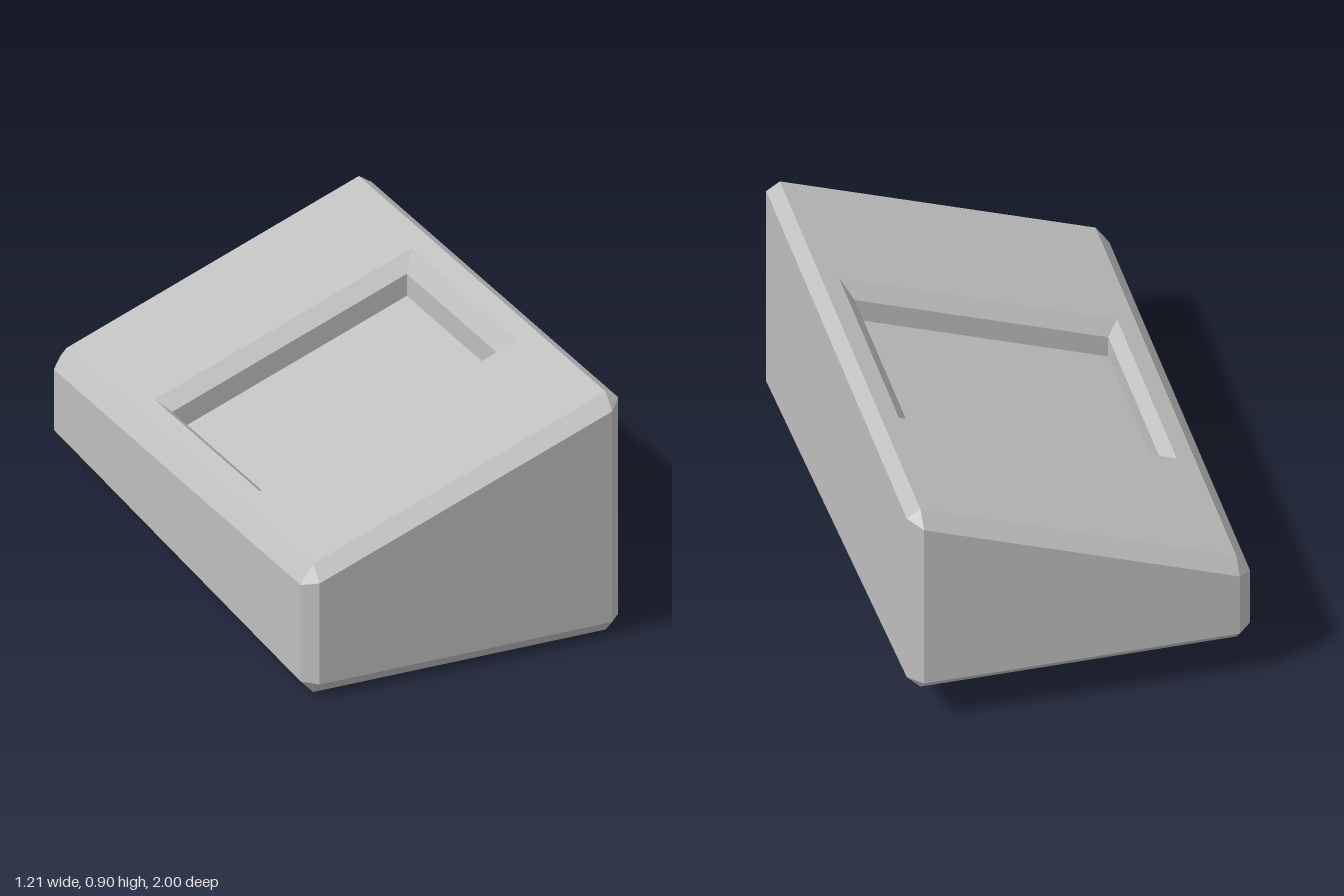
import * as THREE from 'three';

const V = (x, y, z) => new THREE.Vector3(x, y, z);

// Slopes: the top rises towards +x, the underside rises towards -z
const topY = (x) => 0.6935 + 0.372 * x;
const baseY = (z) => 0.0685 - 0.0721 * z;

// Flat polygons collected into one geometry, each turned away from (or towards) a point
function faceted(polys, point, inward = false) {
  const pos = [];
  for (const poly of polys) {
    const mid = poly.reduce((s, p) => s.add(p), V(0, 0, 0)).divideScalar(poly.length);
    const n = poly[1].clone().sub(poly[0]).cross(poly[2].clone().sub(poly[0]));
    const away = n.dot(mid.sub(point)) > 0;
    const c = away !== inward ? poly : [...poly].reverse();
    for (let i = 1; i < c.length - 1; i++) {
      for (const p of [c[0], c[i], c[i + 1]]) pos.push(p.x, p.y, p.z);
    }
  }
  const g = new THREE.BufferGeometry();
  g.setAttribute('position', new THREE.Float32BufferAttribute(pos, 3));
  g.computeVertexNormals();
  return g;
}

// Quads joining two four-cornered rings
const band = (a, b) => a.map((p, i) => [p, a[(i + 1) % 4], b[(i + 1) % 4], b[i]]);

// Rectangle lying a given depth below the sloping top
const topRing = (hx, hz, depth) =>
  [[-1, -1], [1, -1], [1, 1], [-1, 1]].map(([sx, sz]) => V(sx * hx, topY(sx * hx) - depth, sz * hz));

// Corner of the bevelled block: one point on each of its three faces
const X = 0.605, Z = 1, xi = 0.557, zi = 0.95;
function corner(face, sx, sy, sz) {
  const x = sx * (face === 'x' ? X : xi);
  const z = sz * (face === 'z' ? Z : zi);
  let y;
  if (sy > 0) {
    y = topY(sx * xi);
    if (face === 'z') y -= 0.054;
    if (face === 'x') y -= sx > 0 ? 0.032 : 0.071;
  } else {
    y = baseY(sz * zi) + (face === 'y' ? 0 : 0.05);
  }
  return V(x, y, z);
}

export function createModel() {
  const model = new THREE.Group();
  const grey = new THREE.MeshStandardMaterial({ color: 0xbfbfbf });
  grey.name = 'grey';
  const add = (name, geometry) => {
    const mesh = new THREE.Mesh(geometry, grey);
    mesh.name = name;
    model.add(mesh);
  };

  // Sides, bevelled edges and corner facets
  const sides = [], bevels = [];
  const S = [-1, 1];
  for (const a of S) {
    const loop = [[-1, -1], [1, -1], [1, 1], [-1, 1]];
    sides.push(loop.map(([u, v]) => corner('x', a, u, v)));
    sides.push(loop.map(([u, v]) => corner('z', u, v, a)));
    for (const b of S) {
      const strip = (f, g, at) => bevels.push([
        corner(f, ...at(-1)), corner(f, ...at(1)), corner(g, ...at(1)), corner(g, ...at(-1))]);
      strip('y', 'z', (t) => [t, a, b]);
      strip('x', 'z', (t) => [a, t, b]);
      strip('x', 'y', (t) => [a, b, t]);
      for (const c of S) bevels.push(['x', 'y', 'z'].map((f) => corner(f, a, b, c)));
    }
  }
  const centre = V(0, 0.4, 0);
  add('sideWalls', faceted(sides, centre));
  add('bevelledEdges', faceted(bevels, centre));

  // Sloping top with a bevelled rectangular pocket
  const rim = topRing(0.49, 0.405, 0);
  const lip = topRing(0.447, 0.358, 0.052);
  const deep = topRing(0.447, 0.358, 0.135);
  add('slopingTop', faceted(band(topRing(xi, zi, 0), rim), centre));
  const pocketMid = V(0, 0.9, 0);
  add('pocketBevel', faceted(band(rim, lip), pocketMid, true));
  add('pocketWalls', faceted(band(lip, deep), pocketMid, true));
  add('pocketFloor', faceted([deep], pocketMid, true));

  // Sloping underside with two round holes
  const r = 0.175, holeZ = 0.61, depth = 0.25, segs = 48;
  const outline = new THREE.Shape([[-xi, -zi], [xi, -zi], [xi, zi], [-xi, zi]]
    .map(([x, z]) => new THREE.Vector2(x, z)));
  for (const s of S) outline.holes.push(new THREE.Path().absarc(0, s * holeZ, r, 0, Math.PI * 2, true));
  const under = new THREE.ShapeGeometry(outline, segs).rotateX(Math.PI / 2);
  const p = under.attributes.position;
  for (let i = 0; i < p.count; i++) p.setY(i, baseY(p.getZ(i)));
  under.computeVertexNormals();
  add('underside', under);

  // Blind holes, their mouths following the sloping underside
  for (const s of S) {
    const end = baseY(s * holeZ) + depth;
    const wall = new THREE.LatheGeometry([new THREE.Vector2(r, end), new THREE.Vector2(r, 0)], segs);
    wall.translate(0, 0, s * holeZ);
    const w = wall.attributes.position;
    for (let i = 0; i < w.count; i++) if (w.getY(i) < 0.001) w.setY(i, baseY(w.getZ(i)));
    add('holeWall', wall);
    add('holeEnd', new THREE.CircleGeometry(r, segs).rotateX(Math.PI / 2).translate(0, end, s * holeZ));
  }
  return model;
}
